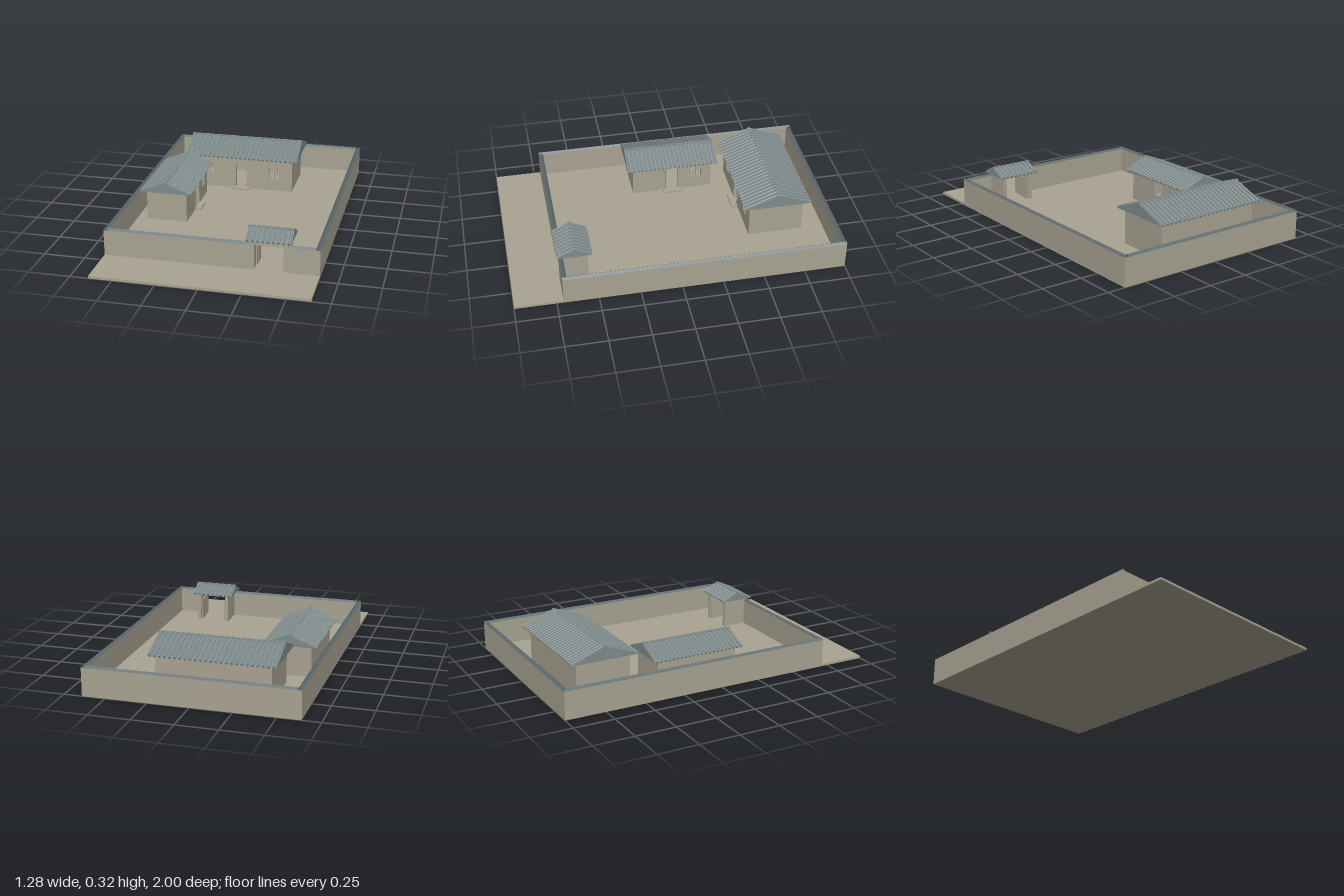
import * as THREE from 'three';

const wallMat = new THREE.MeshStandardMaterial({ name: 'sand plaster', color: 0xa8a392 });
const roofMat = new THREE.MeshStandardMaterial({ name: 'grey roof tile', color: 0x7f8b8b, flatShading: true });
const copingMat = new THREE.MeshStandardMaterial({ name: 'dark coping tile', color: 0x5f6b6d, flatShading: true });

const FLOOR = 0.015;

// Box given by its min and max corners
function box(parent, name, mat, [x0, y0, z0], [x1, y1, z1]) {
  const m = new THREE.Mesh(new THREE.BoxGeometry(x1 - x0, y1 - y0, z1 - z0), mat);
  m.position.set((x0 + x1) / 2, (y0 + y1) / 2, (z0 + z1) / 2);
  m.name = name;
  parent.add(m);
  return m;
}

// Triangular prism along x, base on y = 0
function prism(length, depth, height) {
  const s = new THREE.Shape();
  s.moveTo(-depth / 2, 0);
  s.lineTo(depth / 2, 0);
  s.lineTo(0, height);
  s.closePath();
  return new THREE.ExtrudeGeometry(s, { depth: length, bevelEnabled: false })
    .translate(0, 0, -length / 2).rotateY(Math.PI / 2);
}

// Gabled roof with round tile ribs, ridge along x
function roof(length, depth, height, pitch) {
  const g = new THREE.Group();
  g.name = 'roof';
  const h = height - 0.006;
  const body = new THREE.Mesh(prism(length, depth, h), roofMat);
  body.name = 'roofBody';
  g.add(body);
  const slope = Math.hypot(depth / 2, h);
  const count = Math.round(length / pitch);
  const step = length / count;
  const geo = new THREE.CylinderGeometry(step * 0.28, step * 0.28, slope, 6);
  for (const side of [-1, 1]) {
    for (let i = 0; i < count; i++) {
      const rib = new THREE.Mesh(geo, roofMat);
      rib.position.set(-length / 2 + step * (i + 0.5), h / 2 + 0.001, side * depth / 4);
      rib.rotation.x = Math.atan2(side * depth / 2, -h);
      rib.name = 'tileRib';
      g.add(rib);
    }
  }
  box(g, 'ridgeCap', roofMat, [-length / 2, h - 0.006, -0.007], [length / 2, height, 0.007]);
  return g;
}

function rectHole(x, y0, y1, w) {
  const p = new THREE.Path();
  p.moveTo(x - w / 2, y0);
  p.lineTo(x - w / 2, y1);
  p.lineTo(x + w / 2, y1);
  p.lineTo(x + w / 2, y0);
  p.closePath();
  return p;
}

// Hollow house facing +z with a central door, barred windows and a step
function house(name, o) {
  const g = new THREE.Group();
  g.name = name;
  const { w, d, top, eave, ridge, roofL, roofD, windows, pitch } = o;
  const t = 0.02, X = w / 2, Z = d / 2, door = 0.045, doorTop = 0.18;

  const s = new THREE.Shape();
  s.moveTo(-X, FLOOR);
  s.lineTo(-door, FLOOR);
  s.lineTo(-door, doorTop);
  s.lineTo(door, doorTop);
  s.lineTo(door, FLOOR);
  s.lineTo(X, FLOOR);
  s.lineTo(X, top);
  s.lineTo(-X, top);
  s.closePath();
  for (const x of windows) s.holes.push(rectHole(x, 0.1, 0.175, 0.065));
  const front = new THREE.Mesh(new THREE.ExtrudeGeometry(s, { depth: t, bevelEnabled: false }), wallMat);
  front.position.z = Z - t;
  front.name = 'frontWall';
  g.add(front);

  box(g, 'backWall', wallMat, [-X, FLOOR, -Z], [X, top, -Z + t]);
  for (const k of [-1, 1]) {
    const a = k * X, b = k * (X - t);
    box(g, 'sideWall', wallMat, [Math.min(a, b), FLOOR, -Z + t], [Math.max(a, b), top, Z - t]);
    // Door jambs
    const j = k * (door - 0.004);
    box(g, 'doorJamb', wallMat, [j - 0.004, FLOOR, Z - t], [j + 0.004, doorTop, Z + 0.004]);
  }
  // Window bars
  for (const x of windows) {
    for (const dx of [-0.016, 0, 0.016]) {
      box(g, 'windowBar', wallMat, [x + dx - 0.003, 0.1, Z - 0.013], [x + dx + 0.003, 0.175, Z - 0.007]);
    }
  }
  box(g, 'doorStep', wallMat, [-0.06, FLOOR, Z], [0.06, 0.026, Z + 0.04]);

  const r = roof(roofL, roofD, ridge - eave, pitch);
  r.position.y = eave;
  g.add(r);
  return g;
}

// Straight perimeter wall with a peaked coping, running along x or z
function yardWall(parent, name, x0, x1, z0, z1) {
  box(parent, name, wallMat, [x0, FLOOR, z0], [x1, 0.172, z1]);
  const alongX = x1 - x0 > z1 - z0;
  const length = alongX ? x1 - x0 : z1 - z0;
  const cap = new THREE.Mesh(prism(length, 0.03, 0.012), copingMat);
  cap.position.set((x0 + x1) / 2, 0.172, (z0 + z1) / 2);
  if (!alongX) cap.rotation.y = Math.PI / 2;
  cap.name = name + 'Coping';
  parent.add(cap);
}

// Roofed gateway with side piers, frame and two open leaves
function gatehouse() {
  const g = new THREE.Group();
  g.name = 'gatehouse';
  for (const [k, outer] of [[1, 0.235], [-1, 0.45]]) {
    const span = (name, a, b, y1, z0, z1) => {
      const p = outer + k * a, q = outer + k * b;
      box(g, name, wallMat, [Math.min(p, q), FLOOR, z0], [Math.max(p, q), y1, z1]);
    };
    span('gatePier', 0, 0.022, 0.205, 0.535, 0.705);
    span('gateJamb', 0.022, 0.028, 0.16, 0.62, 0.65);
    span('gateLeaf', 0.024, 0.031, 0.155, 0.545, 0.618);
  }
  box(g, 'gateLintel', wallMat, [0.257, 0.16, 0.61], [0.428, 0.205, 0.69]);
  const r = roof(0.27, 0.21, 0.055, 0.03);
  r.position.set(0.34, 0.195, 0.615);
  g.add(r);
  return g;
}

export function createModel() {
  const model = new THREE.Group();
  model.name = 'walledCourtyard';

  // Ground slab and gate path
  box(model, 'ground', wallMat, [-0.64, 0, -1], [0.64, FLOOR, 1]);
  box(model, 'gatePath', wallMat, [0.28, FLOOR - 0.002, 0.38], [0.4, FLOOR + 0.001, 0.999]);

  // Perimeter walls, the front one broken by the gate
  yardWall(model, 'leftWall', 0.615, 0.64, -1, 0.71);
  yardWall(model, 'rightWall', -0.64, -0.615, -1, 0.71);
  yardWall(model, 'backWall', -0.615, 0.615, -1, -0.975);
  yardWall(model, 'frontWallLong', -0.615, 0.235, 0.685, 0.71);
  yardWall(model, 'frontWallShort', 0.45, 0.615, 0.685, 0.71);

  const main = house('mainHouse', {
    w: 0.685, d: 0.34, top: 0.245, eave: 0.235, ridge: 0.32,
    roofL: 0.755, roofD: 0.415, windows: [-0.222, 0.222], pitch: 0.03,
  });
  main.position.set(-0.0875, 0, -0.667);
  model.add(main);

  const side = house('sideHouse', {
    w: 0.515, d: 0.255, top: 0.22, eave: 0.208, ridge: 0.28,
    roofL: 0.585, roofD: 0.325, windows: [0.16], pitch: 0.0265,
  });
  side.position.set(-0.4225, 0, -0.12);
  side.rotation.y = Math.PI / 2;
  model.add(side);

  model.add(gatehouse());
  return model;
}
